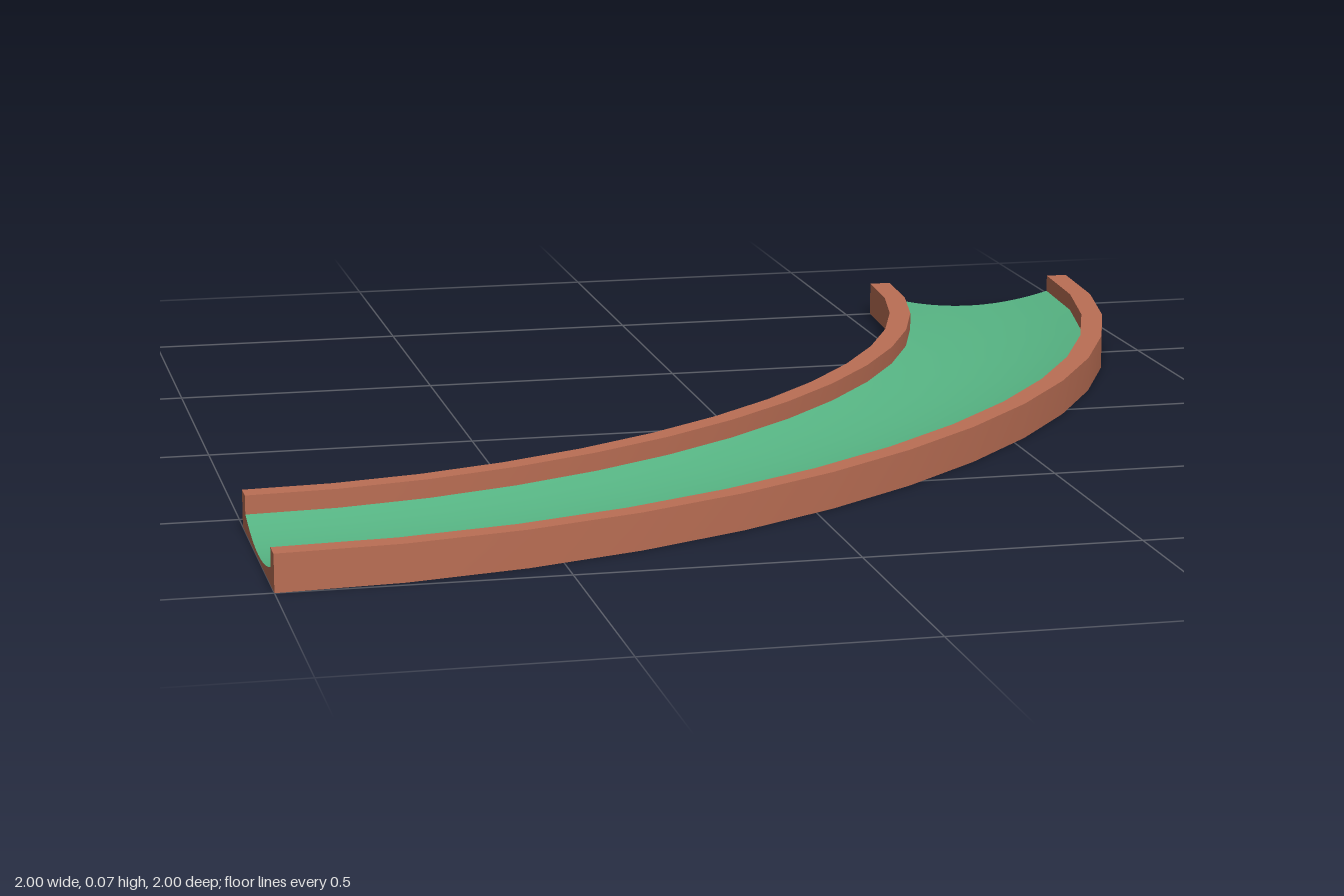
import * as THREE from 'three';
import { mergeVertices, mergeGeometries } from 'three/addons/utils/BufferGeometryUtils.js';

const SEGMENTS = 14;
const RADIUS = 1.777;   // centre line
const HALF = 0.2235;    // half of the track width
const INNER = 0.18;     // half of the lane between the rims
const RIM_TOP = 0.067;
const LANE_EDGE = 0.033;
const LANE_LOW = 0.008;

// Quarter bend in plan: curve coordinates are (x, z)
const bend = new THREE.CubicBezierCurve(
  new THREE.Vector2(-1, RADIUS - 1),
  new THREE.Vector2(-1 + RADIUS / 2, RADIUS - 1),
  new THREE.Vector2(RADIUS - 1, -1 + RADIUS / 2),
  new THREE.Vector2(RADIUS - 1, -1)
);

// Point at path step i, moved outward by o and up by y
function place(i, [o, y]) {
  const p = bend.getPoint(i / SEGMENTS);
  const t = bend.getTangent(i / SEGMENTS);
  return [p.x - t.y * o, y, p.y + t.x * o];
}

function makeGeometry(positions) {
  const g = new THREE.BufferGeometry();
  g.setAttribute('position', new THREE.Float32BufferAttribute(positions, 3));
  const merged = mergeVertices(g, 1e-5);
  merged.computeVertexNormals();
  return merged;
}

// Smooth ribbon through an open line of profile points
function ribbon(line) {
  const v = [];
  for (let i = 0; i < SEGMENTS; i++) {
    for (let j = 0; j + 1 < line.length; j++) {
      const a = place(i, line[j]), b = place(i, line[j + 1]);
      const c = place(i + 1, line[j + 1]), d = place(i + 1, line[j]);
      v.push(...a, ...d, ...c, ...a, ...c, ...b);
    }
  }
  return makeGeometry(v);
}

// Flat ends closing a counter-clockwise profile
function endCaps(profile) {
  const tris = THREE.ShapeUtils.triangulateShape(
    profile.map(([o, y]) => new THREE.Vector2(o, y)), []);
  return [0, SEGMENTS].map((step) => {
    const v = [];
    for (const tri of tris) {
      const order = step === 0 ? tri : [...tri].reverse();
      order.forEach((k) => v.push(...place(step, profile[k])));
    }
    return makeGeometry(v);
  });
}

export function createModel() {
  const model = new THREE.Group();
  const brown = new THREE.MeshStandardMaterial({ color: 0xba6e54 });
  const green = new THREE.MeshStandardMaterial({ color: 0x57b584 });
  brown.name = 'brown border';
  green.name = 'green felt';

  const add = (name, geometry, material) => {
    const mesh = new THREE.Mesh(geometry, material);
    mesh.name = name;
    model.add(mesh);
  };

  // Shallow dished lane, listed from the outer to the inner edge
  const lane = [];
  for (let k = 0; k <= 12; k++) {
    const s = 1 - k / 6;
    lane.push([INNER * s, LANE_LOW + (LANE_EDGE - LANE_LOW) * s * s]);
  }
  add('lane', ribbon(lane), green);

  // Flat underside and closed ends below the lane
  const baseProfile = [[-INNER, 0], [INNER, 0], ...lane];
  add('base', mergeGeometries([
    ribbon([[-INNER, 0], [INNER, 0]]),
    ...endCaps(baseProfile),
  ]), brown);

  // Square rims along both sides
  for (const [name, from, to] of [['innerRim', -HALF, -INNER], ['outerRim', INNER, HALF]]) {
    const box = [[from, 0], [to, 0], [to, RIM_TOP], [from, RIM_TOP]];
    const sides = box.map((p, k) => ribbon([p, box[(k + 1) % 4]]));
    add(name, mergeGeometries([...sides, ...endCaps(box)]), brown);
  }
  return model;
}
